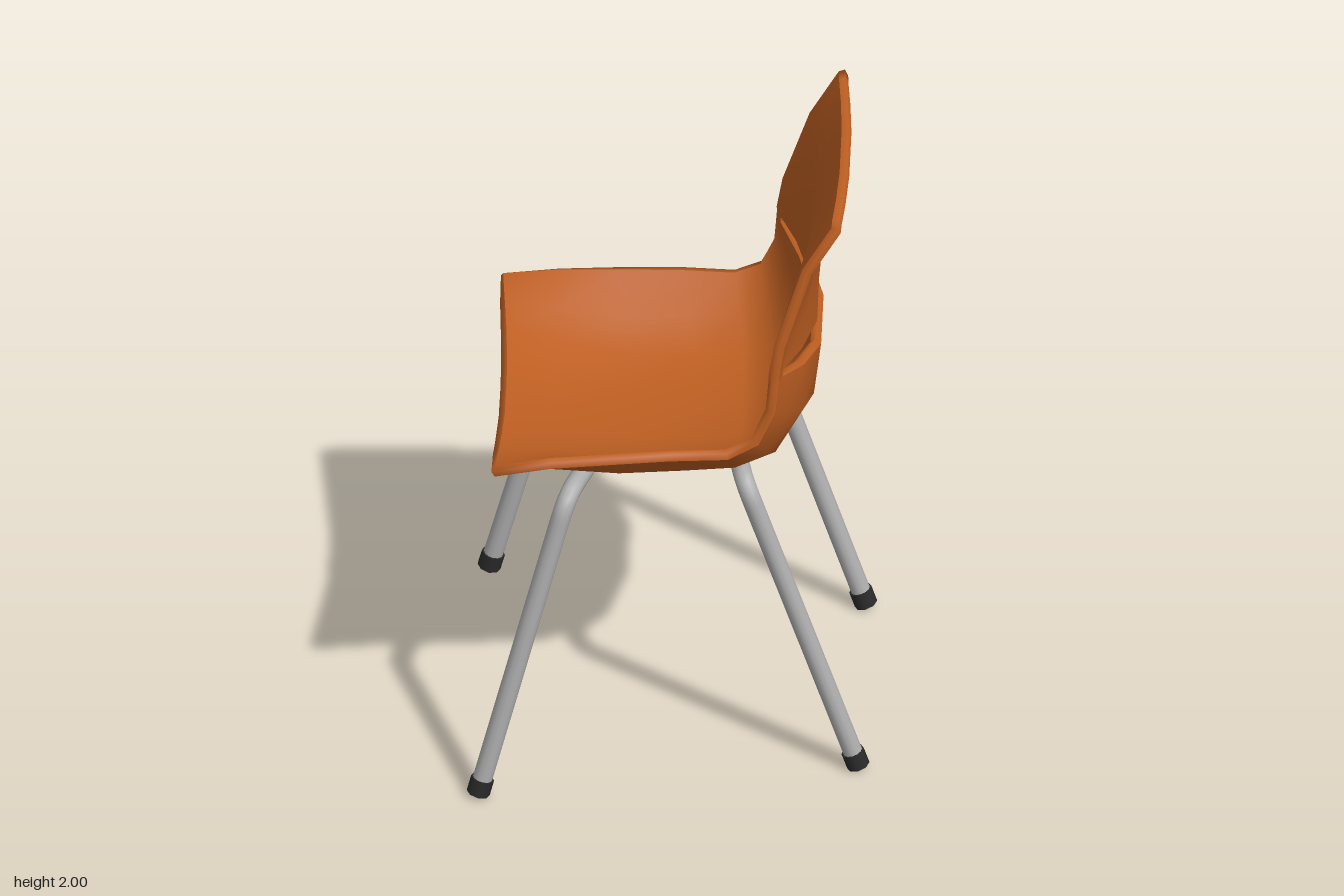
import * as THREE from 'three';

const V = (x, y, z) => new THREE.Vector3(x, y, z);
const shellMat = new THREE.MeshStandardMaterial({ color: 0xbe5f22 });
shellMat.name = 'orange plastic';
const steelMat = new THREE.MeshStandardMaterial({ color: 0xb0b0b0 });
steelMat.name = 'grey steel';
const rubberMat = new THREE.MeshStandardMaterial({ color: 0x2b2b2b });
rubberMat.name = 'black rubber';

// Sections from seat lip to top of back: side edge x, y, half width, centre x, y,
// and cross-section (0 lip, 1 seat, 2 back, blended between)
const sections = [
  [-0.543, 1.142, 0.562, -0.527, 1.075, 0],
  [-0.37, 1.168, 0.553, -0.36, 1.015, 0.7],
  [-0.18, 1.18, 0.545, -0.14, 0.985, 1],
  [0, 1.19, 0.535, 0.08, 0.992, 1],
  [0.18, 1.19, 0.523, 0.22, 1.006, 1],
  [0.268, 1.234, 0.512, 0.325, 1.034, 1.1],
  [0.317, 1.34, 0.5, 0.427, 1.183, 1.5],
  [0.327, 1.447, 0.495, 0.449, 1.365, 2],
  [0.327, 1.464, 0.493, 0.436, 1.447, 2],
  [0.345, 1.57, 0.485, 0.442, 1.6, 2],
  [0.43, 1.83, 0.456, 0.461, 1.83, 2],
  [0.52, 1.983, 0.455, 0.538, 1.983, 2],
];
const SLOT_ROW = 7;
// Cross-sections: fraction of half width, and sag towards the centre line
const profiles = [
  [[0, 1], [0.27, 0.95], [0.56, 0.62], [0.79, 0.3], [1, 0]],
  [[0, 1], [0.27, 1], [0.56, 0.85], [0.79, 0.53], [1, 0]],
  [[0, 1], [0.28, 1], [0.63, 0.6], [0.9, 0.1], [1, 0]],
];
const COLS = 9;

// Width and sag of one column, blended between neighbouring cross-sections
function columnAt(j, k) {
  const side = j - 4, i = Math.abs(side), low = Math.min(Math.floor(k), 1);
  const [t0, w0] = profiles[low][i], [t1, w1] = profiles[low + 1][i];
  const mix = THREE.MathUtils.lerp;
  return [Math.sign(side) * mix(t0, t1, k - low), mix(w0, w1, k - low)];
}

// Curved sheet with thickness, a slot, and a bevelled rim round every open edge
function shellGeometry(thickness, bevel) {
  const mid = [];
  for (const [ex, ey, hw, cx, cy, k] of sections)
    for (let j = 0; j < COLS; j++) {
      const [t, sag] = columnAt(j, k);
      mid.push(V(ex + (cx - ex) * sag, ey + (cy - ey) * sag, t * hw));
    }

  const n = mid.length, faces = [], edges = new Map();
  for (let i = 0; i < sections.length - 1; i++)
    for (let j = 0; j < COLS - 1; j++) {
      if (i === SLOT_ROW && j > 0 && j < COLS - 2) continue;
      const a = i * COLS + j, b = a + 1, c = a + COLS, d = c + 1;
      faces.push([a, b, c], [b, d, c]);
      for (const [p, q] of [[a, b], [b, d], [d, c], [c, a]]) edges.set(p + '_' + q, [p, q]);
    }
  const rim = [...edges.values()].filter(([p, q]) => !edges.has(q + '_' + p));

  const sheet = new THREE.BufferGeometry().setFromPoints(mid);
  sheet.setIndex(faces.flat());
  sheet.computeVertexNormals();
  const normals = mid.map((_, k) => V().fromBufferAttribute(sheet.attributes.normal, k));

  const push = mid.map(() => V());
  for (const [p, q] of rim) {
    const dir = mid[q].clone().sub(mid[p]).normalize();
    for (const k of [p, q]) push[k].add(dir.clone().cross(normals[k]));
  }
  const offset = (s) => mid.map((p, k) => p.clone().addScaledVector(normals[k], s * thickness / 2));
  const rimMid = mid.map((p, k) => p.clone().addScaledVector(push[k].normalize(), bevel));

  // Layers: upper face, lower face, then rim top, middle and bottom
  const points = [...offset(1), ...offset(-1), ...offset(1), ...rimMid, ...offset(-1)];
  const index = [];
  for (const [a, b, c] of faces) index.push(a, b, c, n + a, n + c, n + b);
  for (const [p, q] of rim)
    for (const layer of [2, 3]) {
      const u = layer * n, l = u + n;
      index.push(u + q, u + p, l + p, u + q, l + p, l + q);
    }
  const g = new THREE.BufferGeometry().setFromPoints(points);
  g.setIndex(index);
  g.computeVertexNormals();
  return g;
}

// Bent tube leg: foot, corner below the shell, inner end
function makeLeg(name, foot, corner, end) {
  const leg = new THREE.Group();
  leg.name = name;
  const up = corner.clone().sub(foot).normalize();
  const inward = end.clone().sub(corner).normalize();
  const bendA = corner.clone().addScaledVector(up, -0.085);
  const bendB = corner.clone().addScaledVector(inward, 0.085);
  const path = new THREE.CurvePath();
  path.add(new THREE.LineCurve3(foot.clone().addScaledVector(up, 0.02), bendA));
  path.add(new THREE.QuadraticBezierCurve3(bendA, corner, bendB));
  path.add(new THREE.LineCurve3(bendB, end));
  const tube = new THREE.Mesh(new THREE.TubeGeometry(path, 48, 0.031, 12), steelMat);
  tube.name = 'legTube';

  const tip = new THREE.Mesh(new THREE.SphereGeometry(0.031, 12, 8), steelMat);
  tip.name = 'legEnd';
  tip.scale.setScalar(0.98);
  tip.position.copy(end);

  const cap = new THREE.Mesh(new THREE.CylinderGeometry(0.037, 0.037, 0.055, 8), rubberMat);
  cap.name = 'footCap';
  cap.position.copy(foot).addScaledVector(up, 0.0275);
  cap.quaternion.setFromUnitVectors(V(0, 1, 0), up);
  leg.add(tube, tip, cap);
  return leg;
}

export function createModel() {
  const chair = new THREE.Group();
  chair.name = 'chair';
  const shell = new THREE.Mesh(shellGeometry(0.034, 0.014), shellMat);
  shell.name = 'seatShell';
  chair.add(shell);

  for (const [side, s] of [['Left', 1], ['Right', -1]]) {
    chair.add(makeLeg('frontLeg' + side,
      V(-0.592, 0.01, 0.656 * s), V(-0.315, 1.072, 0.585 * s), V(-0.265, 1.056, 0.405 * s)));
    chair.add(makeLeg('rearLeg' + side,
      V(0.59, 0.011, 0.467 * s), V(0.235, 1.065, 0.482 * s), V(0.22, 1.052, 0.37 * s)));
  }
  return chair;
}
